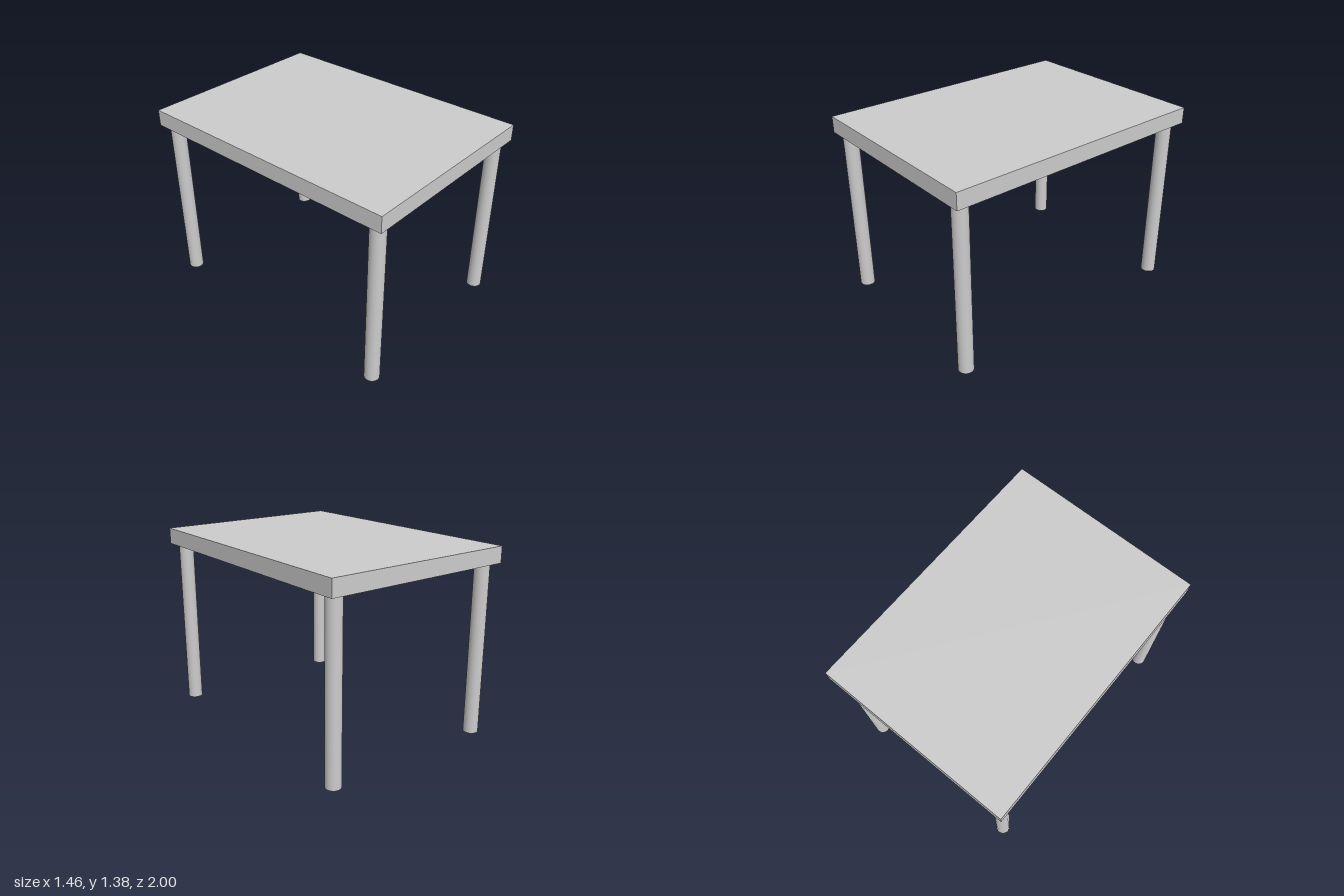
import * as THREE from 'three';

export function createModel() {
  const model = new THREE.Group();
  model.name = 'table';

  const height = 1.376, thickness = 0.118;
  const legHeight = height - thickness;
  const topMaterial = new THREE.MeshStandardMaterial({ color: 0xcccccc });
  const legMaterial = new THREE.MeshStandardMaterial({ color: 0xcccccc, side: THREE.DoubleSide });

  // Rectangular slab
  const top = new THREE.Mesh(new THREE.BoxGeometry(1.456, thickness, 2), topMaterial);
  top.name = 'tableTop';
  top.position.y = legHeight + thickness / 2;
  model.add(top);

  // Four hollow round legs, open at the foot
  const legGeometry = new THREE.CylinderGeometry(0.054, 0.054, legHeight, 32, 1, true);
  for (const [zName, z] of [['front', 0.917], ['back', -0.907]]) {
    for (const [xName, x] of [['Left', 0.638], ['Right', -0.646]]) {
      const leg = new THREE.Mesh(legGeometry, legMaterial);
      leg.name = `${zName}${xName}Leg`;
      leg.position.set(x, legHeight / 2, z);
      model.add(leg);
    }
  }

  return model;
}
